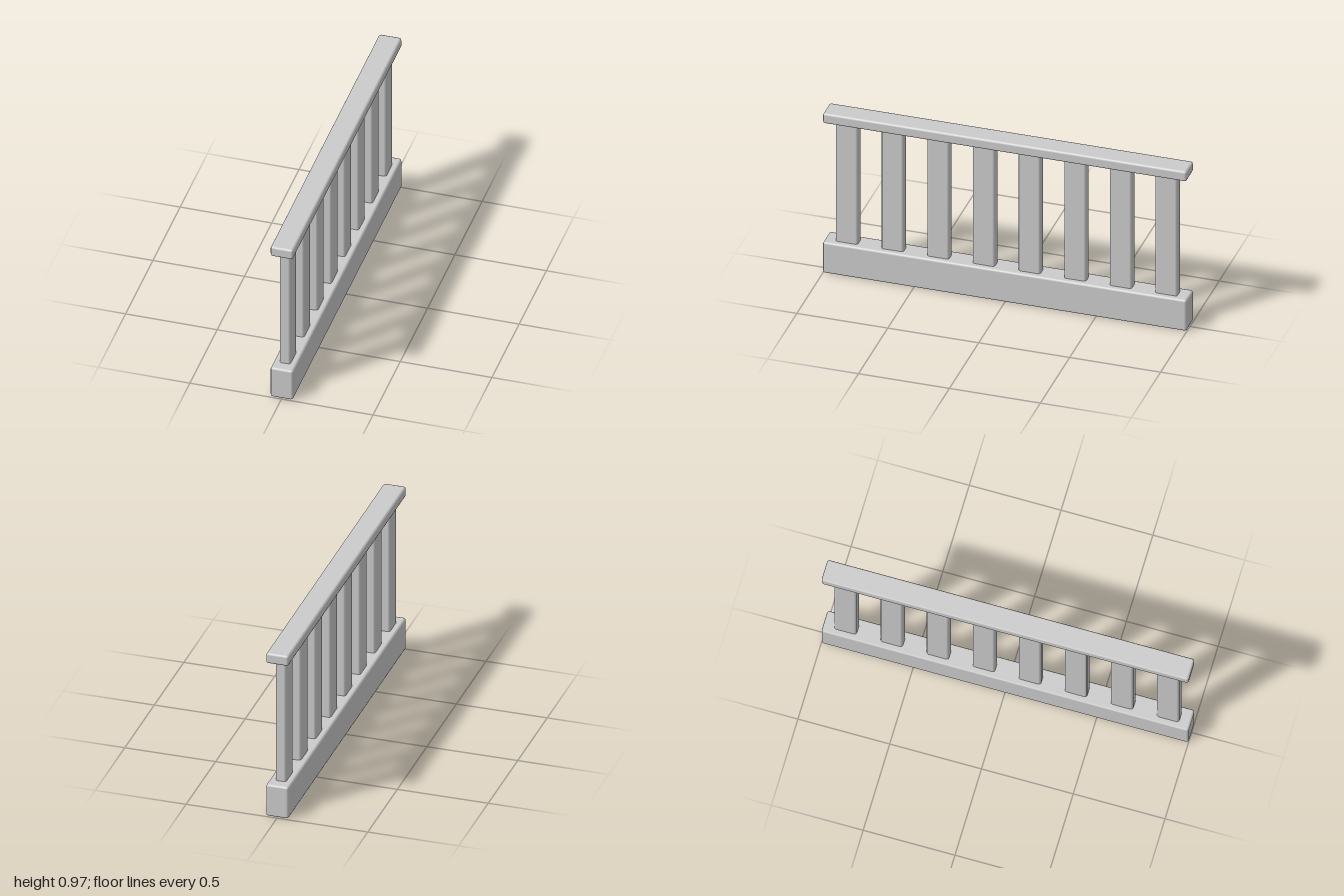
import * as THREE from 'three';
import { RoundedBoxGeometry } from 'three/addons/geometries/RoundedBoxGeometry.js';

const material = new THREE.MeshStandardMaterial({ color: 0xcccccc });

// Softly bevelled bar spanning y0..y1, centred on x and placed at z
function bar(name, width, y0, y1, length, z = 0) {
  const geometry = new RoundedBoxGeometry(width, y1 - y0, length, 1, 0.012);
  const mesh = new THREE.Mesh(geometry, material);
  mesh.name = name;
  mesh.position.set(0, (y0 + y1) / 2, z);
  return mesh;
}

export function createModel() {
  const model = new THREE.Group();
  model.name = 'railing';

  // Plinth and handrail run the full length
  model.add(bar('base', 0.124, 0.003, 0.189, 2));
  model.add(bar('handrail', 0.124, 0.907, 0.967, 2));

  // Evenly spaced balusters, pushed through the base and set into the handrail
  const balusters = new THREE.Group();
  balusters.name = 'balusters';
  const count = 8, spacing = 0.251;
  for (let i = 0; i < count; i++) {
    const z = (i - (count - 1) / 2) * spacing;
    balusters.add(bar('baluster', 0.06, 0, 0.935, 0.122, z));
  }
  model.add(balusters);

  return model;
}
